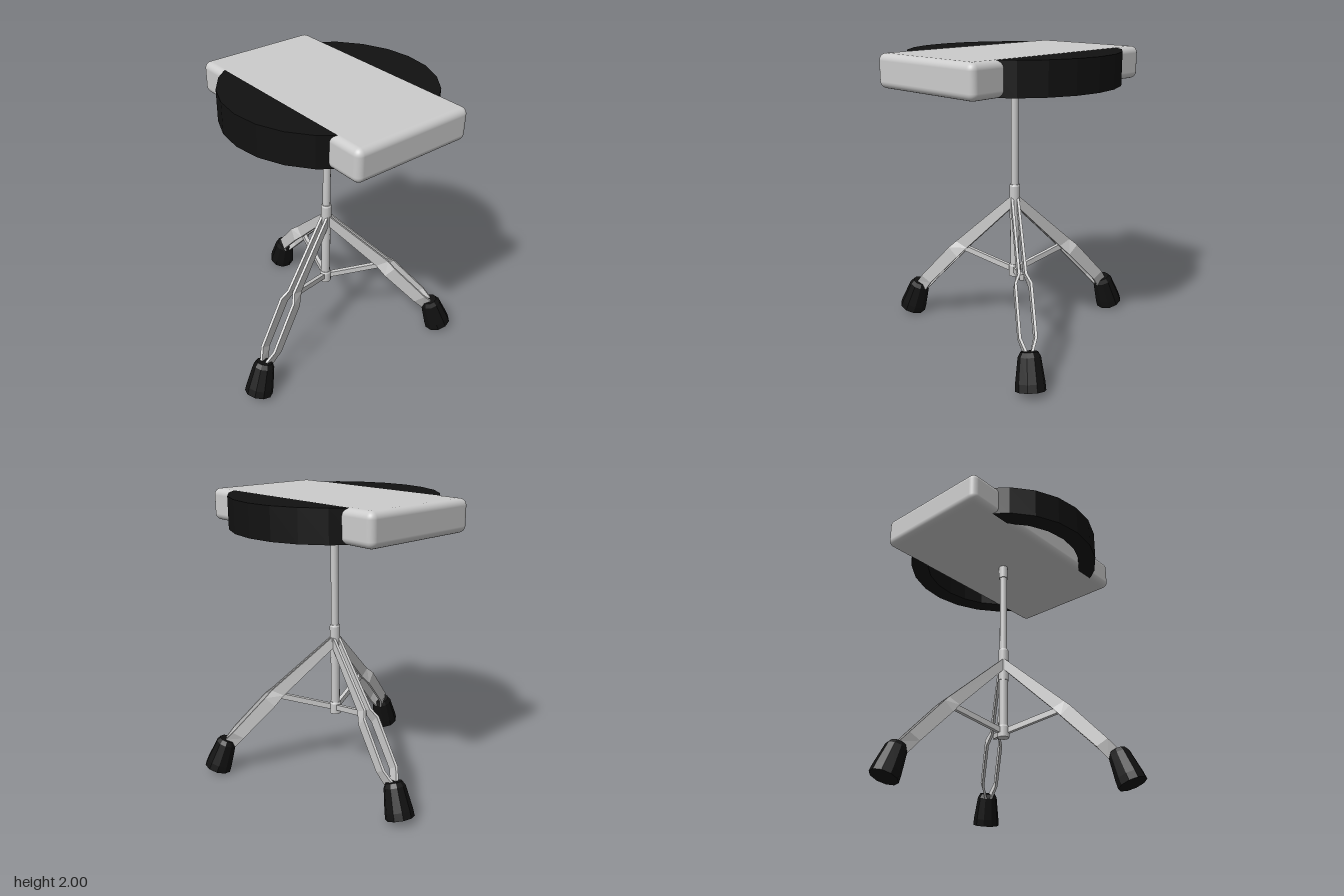
import * as THREE from 'three';
import { RoundedBoxGeometry } from 'three/addons/geometries/RoundedBoxGeometry.js';

const metal = new THREE.MeshStandardMaterial({ color: 0xcccccc });
const metalFlat = new THREE.MeshStandardMaterial({ color: 0xcccccc, flatShading: true });
const black = new THREE.MeshStandardMaterial({ color: 0x111111, flatShading: true });

function add(parent, name, geometry, material) {
  const mesh = new THREE.Mesh(geometry, material);
  mesh.name = name;
  parent.add(mesh);
  return mesh;
}

const lathe = (points, sides) =>
  new THREE.LatheGeometry(points.map(([r, y]) => new THREE.Vector2(r, y)), sides);

// Flat bar swept through stations: [upper r, upper y, lower r, lower y, sideways offset]
function barGeometry(stations, side, thickness) {
  const pos = [], index = [];
  for (const [ur, uy, lr, ly, off] of stations) {
    const a = side * off - thickness / 2, b = side * off + thickness / 2;
    pos.push(ur, uy, a, ur, uy, b, lr, ly, b, lr, ly, a);
  }
  const last = (stations.length - 1) * 4;
  for (let s = 0; s < last; s += 4) {
    for (let k = 0; k < 4; k++) {
      const a = s + k, b = s + (k + 1) % 4;
      index.push(a, b, b + 4, a, b + 4, a + 4);
    }
  }
  index.push(0, 2, 1, 0, 3, 2, last, last + 1, last + 2, last, last + 2, last + 3);
  const g = new THREE.BufferGeometry();
  g.setAttribute('position', new THREE.Float32BufferAttribute(pos, 3));
  g.setIndex(index);
  g.computeVertexNormals();
  return g;
}

// One leg, pointing along local +x
function createLeg() {
  const leg = new THREE.Group();
  leg.name = 'leg';
  const stations = [
    [0.02, 1.015, 0.02, 0.93, 0.02],
    [0.45, 0.63, 0.365, 0.59, 0.022],
    [0.497, 0.585, 0.43, 0.52, 0.05],
    [0.735, 0.325, 0.66, 0.28, 0.05],
    [0.79, 0.26, 0.725, 0.2, 0.02],
  ];
  for (const side of [-1, 1]) add(leg, 'legBar', barGeometry(stations, side, 0.018), metalFlat);

  // Brace from the lower hub to the knee
  const brace = [[0.02, 0.505, 0.02, 0.465, 0], [0.41, 0.605, 0.41, 0.565, 0]];
  add(leg, 'brace', barGeometry(brace, 1, 0.028), metalFlat);

  // Tilted rubber foot
  const foot = add(leg, 'rubberFoot',
    lathe([[0, 0], [0.096, 0], [0.093, 0.05], [0.072, 0.205], [0.055, 0.235], [0, 0.235]], 10), black);
  foot.position.set(0.86, 0.033, 0);
  foot.rotation.z = THREE.MathUtils.degToRad(20);
  return leg;
}

export function createModel() {
  const model = new THREE.Group();
  model.name = 'stool';

  // Everything is arranged around the central post
  const stool = new THREE.Group();
  stool.name = 'stoolBody';
  stool.position.set(0.05, 0, 0.08);
  model.add(stool);

  // Seat: a long pad set into a round black ring, open underneath
  const pad = add(stool, 'seatPad', new RoundedBoxGeometry(0.86, 0.215, 1.55, 4, 0.045), metal);
  pad.position.y = 1.8925;
  const ring = add(stool, 'seatRing',
    lathe([[0.57, 1.97], [0.57, 1.787], [0.692, 1.787], [0.692, 1.999], [0, 1.999]], 24), black);
  ring.rotation.y = Math.PI / 2;
  // Underside of the ring's top
  const lining = add(stool, 'ringLining', new THREE.CircleGeometry(0.57, 24), black);
  lining.rotation.x = Math.PI / 2;
  lining.position.y = 1.97;

  // Post and sleeves: [name, radius, bottom, top]
  const sections = [
    ['post', 0.027, 0.5, 1.8],
    ['postSocket', 0.033, 1.69, 1.8],
    ['upperCollar', 0.037, 0.86, 1.1],
    ['lowerTube', 0.032, 0.5, 0.87],
    ['lowerCollar', 0.041, 0.44, 0.525],
  ];
  for (const [name, r, y0, y1] of sections) {
    const bevel = 0.012;
    const body = new THREE.CylinderGeometry(r, r, y1 - y0 - bevel, 12);
    add(stool, name, body, metal).position.y = (y0 + y1 - bevel) / 2;
    const lip = new THREE.CylinderGeometry(r * 0.85, r, bevel, 12);
    add(stool, name + 'Lip', lip, metal).position.y = y1 - bevel / 2;
  }

  // Tripod legs
  for (const degrees of [-76, 39.5, 161]) {
    const leg = createLeg();
    leg.rotation.y = -THREE.MathUtils.degToRad(degrees);
    stool.add(leg);
  }
  return model;
}
